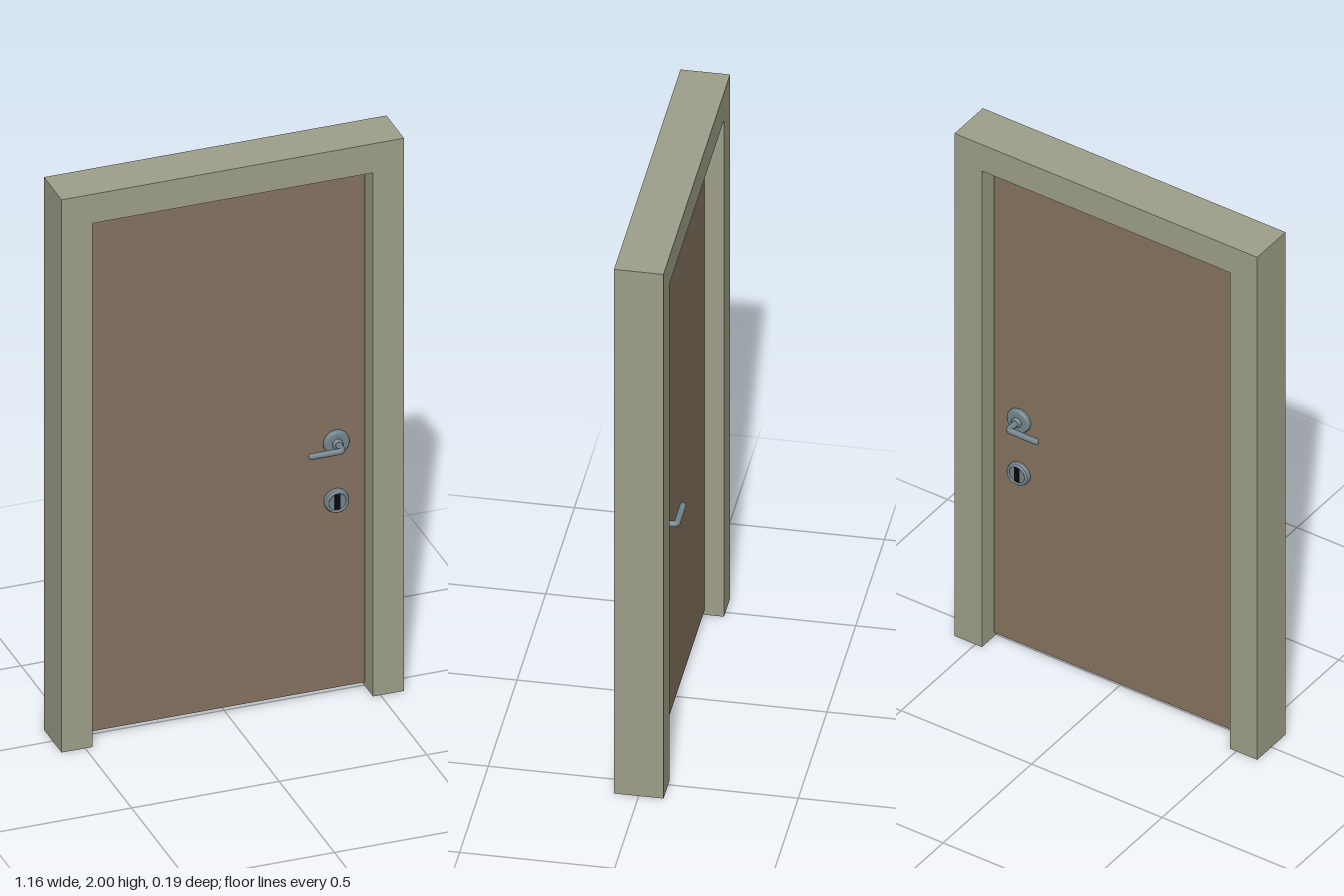
import * as THREE from 'three';

const material = (color) => new THREE.MeshStandardMaterial({ color });

export function createModel() {
  const model = new THREE.Group();
  const paint = material(0x9e9e8a);
  const wood = material(0x85725f);
  const steel = material(0x73838b);
  const dark = material(0x3a3a3c);
  const black = material(0x080808);

  const add = (parent, name, geometry, mat, x = 0, y = 0, z = 0) => {
    const mesh = new THREE.Mesh(geometry, mat);
    mesh.name = name;
    mesh.position.set(x, y, z);
    parent.add(mesh);
    return mesh;
  };

  // Door frame: one U-shaped outline extruded through the wall depth
  const outline = new THREE.Shape([
    [-0.58, 0], [-0.475, 0], [-0.475, 1.895], [0.475, 1.895],
    [0.475, 0], [0.58, 0], [0.58, 2], [-0.58, 2],
  ].map(([x, y]) => new THREE.Vector2(x, y)));
  const frame = new THREE.ExtrudeGeometry(outline, { depth: 0.16, bevelEnabled: false });
  add(model, 'doorFrame', frame, paint, 0, 0, -0.08);

  // Door leaf, set midway in the frame
  const face = 0.018;
  add(model, 'doorLeaf', new THREE.BoxGeometry(0.936, 1.873, face * 2), wood, 0.003, 0.9575, 0);

  // Three hinges in the gap: a thin leaf and five knuckles each
  for (const y of [0.387, 0.94, 1.54]) {
    const hinge = new THREE.Group();
    hinge.name = 'hinge';
    hinge.position.set(-0.469, y, 0);
    add(hinge, 'hingeLeaf', new THREE.BoxGeometry(0.006, 0.17, face * 2), dark);
    for (let i = -2; i <= 2; i++) {
      const knuckle = new THREE.CylinderGeometry(0.007, 0.007, 0.033, 16);
      add(hinge, 'hingeKnuckle', knuckle, dark, 0, i * 0.036, face);
    }
    model.add(hinge);
  }

  // Round plate turned about z, with a softened rim
  const plate = (r, h) => new THREE.LatheGeometry([
    [r, 0], [r, h * 0.5], [r * 0.96, h * 0.8], [r * 0.88, h], [r * 0.7, h], [0, h],
  ].map(([x, y]) => new THREE.Vector2(x, y)), 40).rotateX(Math.PI / 2);

  // Lever path: neck out of the rose, a tight elbow, then the grip
  const lever = new THREE.CurvePath();
  const v = (x, z) => new THREE.Vector3(x, 0, z);
  lever.add(new THREE.LineCurve3(v(0, 0), v(0, 0.052)));
  lever.add(new THREE.QuadraticBezierCurve3(v(0, 0.052), v(0, 0.066), v(-0.014, 0.066)));
  lever.add(new THREE.LineCurve3(v(-0.014, 0.066), v(-0.11, 0.066)));

  // Handle and lock on both faces; the turn about x keeps the lever pointing to the hinges
  for (const side of [1, -1]) {
    const handle = new THREE.Group();
    handle.name = side > 0 ? 'frontHandle' : 'backHandle';
    handle.position.set(0.372, 0.91, side * face);
    add(handle, 'rose', plate(0.043, 0.016), steel);
    add(handle, 'collar', plate(0.018, 0.026), steel);
    add(handle, 'lever', new THREE.TubeGeometry(lever, 48, 0.0105, 16), steel);
    add(handle, 'leverTip', new THREE.SphereGeometry(0.0105, 16, 12).scale(0.6, 1, 1), steel, -0.11, 0, 0.066);

    const lock = new THREE.Group();
    lock.name = side > 0 ? 'frontLock' : 'backLock';
    lock.position.set(0.372, 0.7, side * face);
    add(lock, 'lockPlate', plate(0.041, 0.016), steel);
    add(lock, 'lockRing', new THREE.TorusGeometry(0.034, 0.005, 10, 40), steel, 0, 0, 0.015);
    add(lock, 'keySlot', new THREE.BoxGeometry(0.02, 0.054, 0.004), black, 0, 0, 0.0155);

    for (const part of [handle, lock]) {
      if (side < 0) part.rotation.x = Math.PI;
      model.add(part);
    }
  }

  return model;
}
